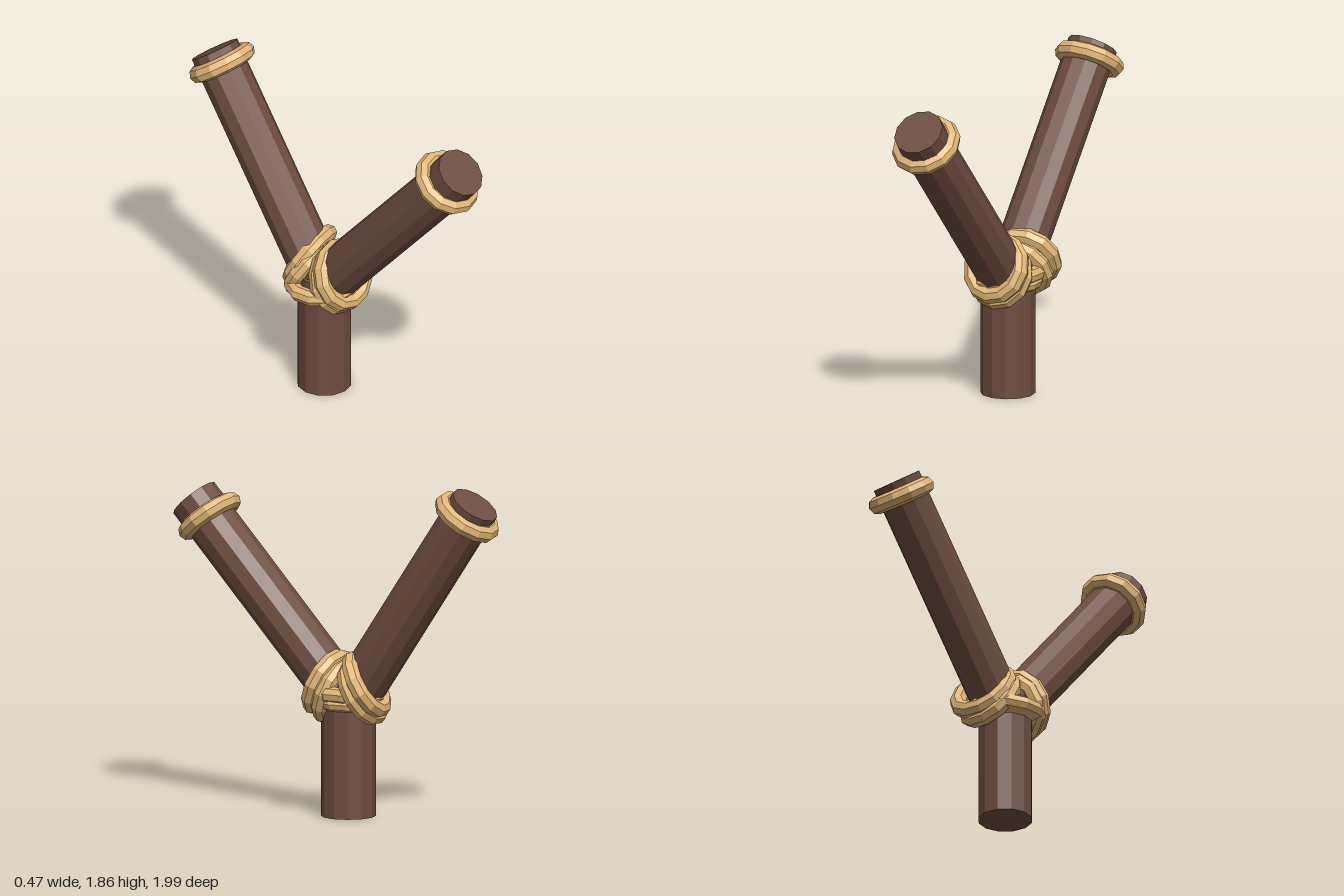
import * as THREE from 'three';

const wood = new THREE.MeshStandardMaterial({ color: 0x6e4d41, flatShading: true });
const rope = new THREE.MeshStandardMaterial({ color: 0xe2b676, flatShading: true });

export function createModel() {
  const model = new THREE.Group();
  model.name = 'forkedPost';

  // Log running between two points
  function log(name, from, to, radius) {
    const a = new THREE.Vector3(...from), b = new THREE.Vector3(...to);
    const dir = b.clone().sub(a);
    const mesh = new THREE.Mesh(new THREE.CylinderGeometry(radius, radius, dir.length(), 12), wood);
    mesh.position.copy(a).add(b).multiplyScalar(0.5);
    mesh.quaternion.setFromUnitVectors(new THREE.Vector3(0, 1, 0), dir.normalize());
    mesh.name = name;
    model.add(mesh);
  }

  // Rope coil facing along a normal
  function coil(name, center, normal, radius, tube = 0.048) {
    const mesh = new THREE.Mesh(new THREE.TorusGeometry(radius, tube, 8, 12), rope);
    mesh.position.set(...center);
    mesh.quaternion.setFromUnitVectors(new THREE.Vector3(0, 0, 1), new THREE.Vector3(...normal).normalize());
    mesh.name = name;
    model.add(mesh);
  }

  // Trunk and the two branches
  log('trunk', [-0.01, 0, -0.06], [-0.01, 0.7, -0.06], 0.15);
  log('frontBranch', [-0.01, 0.62, -0.06], [0.055, 1.68, 0.89], 0.14);
  log('backBranch', [-0.01, 0.6, -0.06], [-0.01, 1.778, -0.872], 0.138);

  // Rope rings near the branch tips
  coil('frontTipRing', [0.043, 1.585, 0.797], [0.04, 0.78, 0.62], 0.148);
  coil('backTipRing', [0, 1.709, -0.826], [-0.03, 0.824, -0.568], 0.148);

  // Lashing around the base of each branch
  coil('frontLashingUpper', [0, 0.727, 0.065], [0, 0.42, 0.907], 0.155);
  coil('frontLashingLower', [-0.005, 0.685, 0.02], [0.08, 0.36, 0.93], 0.15);
  coil('backLashingUpper', [0.02, 0.74, -0.195], [-0.2, 0.51, -0.86], 0.155);
  coil('backLashingLower', [0, 0.69, -0.16], [-0.08, 0.5, -0.86], 0.15);

  // Coils binding the fork sideways
  coil('forkCoilUpper', [-0.02, 0.655, -0.06], [-0.17, 1, 0], 0.172, 0.045);
  coil('forkCoilLower', [-0.01, 0.625, -0.06], [-0.05, 1, 0], 0.15, 0.04);

  return model;
}
